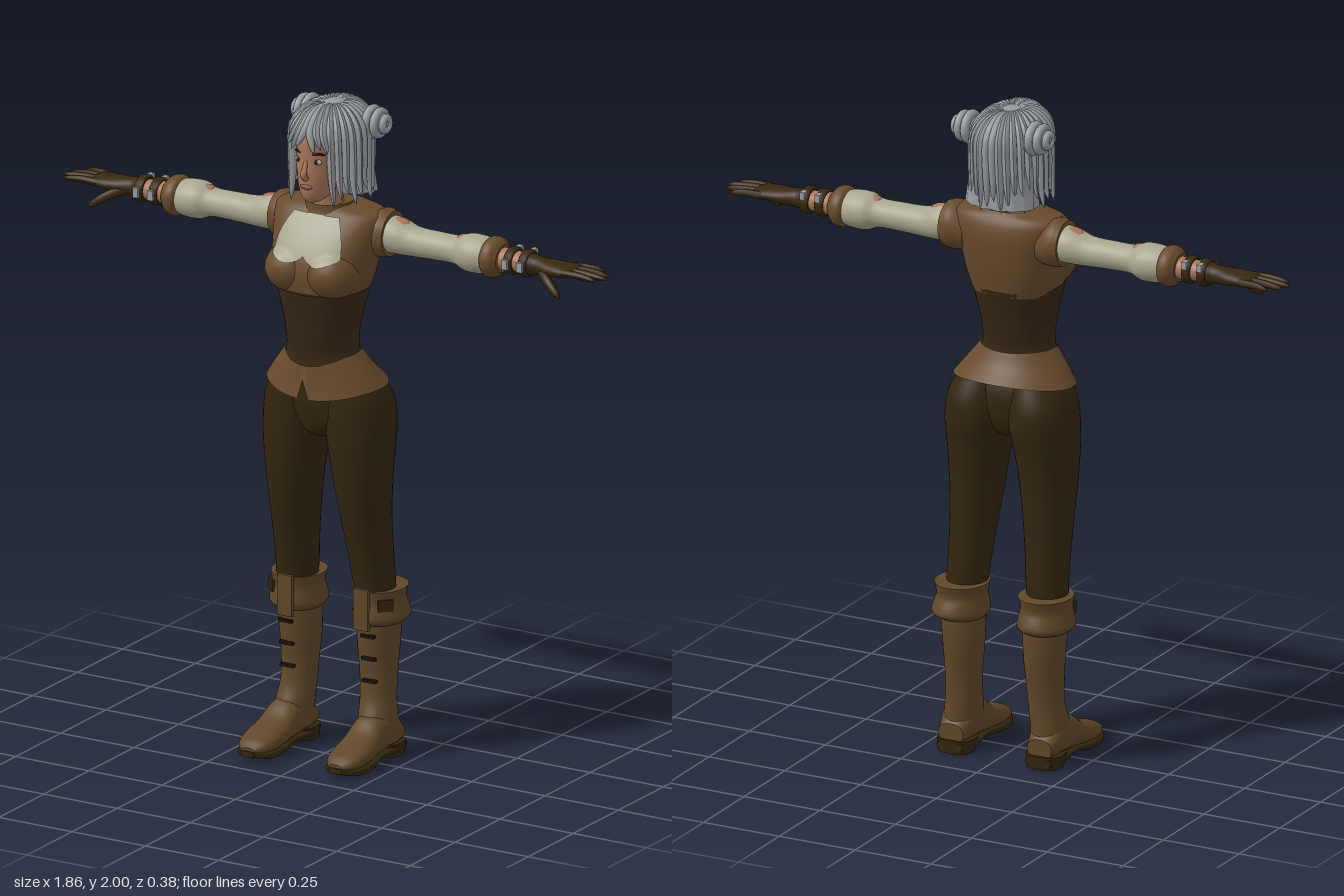
import * as THREE from 'three';

const mat = (name, color, side = THREE.FrontSide) => {
  const m = new THREE.MeshStandardMaterial({ color, side });
  m.name = name;
  return m;
};
const V = (x, y, z) => new THREE.Vector3(x, y, z);

// Smoothly interpolated cross-section row [y, centreX, halfWidth, zFront, zBack]
function rowAt(rows, y) {
  let k = 0;
  while (k < rows.length - 2 && y > rows[k + 1][0]) k++;
  const a = rows[k], b = rows[k + 1], h = b[0] - a[0], t = (y - a[0]) / h;
  const slope = (i, j) => {
    const p = rows[Math.max(i - 1, 0)], q = rows[Math.min(i + 1, rows.length - 1)];
    return (q[j] - p[j]) / (q[0] - p[0]);
  };
  return a.map((v, j) => j === 0 ? y :
    v * (2 * t ** 3 - 3 * t * t + 1) + b[j] * (3 * t * t - 2 * t ** 3) +
    h * (slope(k, j) * (t ** 3 - 2 * t * t + t) + slope(k + 1, j) * (t ** 3 - t * t)));
}

// Skin a stack of rounded cross-sections; p < 1 makes them boxier
function loft(rows, { seg = 32, p = 1, sub = 4, cap = true, warp } = {}) {
  const pos = [], idx = [], ys = [];
  rows.slice(0, -1).forEach((r, k) => {
    for (let s = 0; s < sub; s++) ys.push(r[0] + (rows[k + 1][0] - r[0]) * s / sub);
  });
  ys.push(rows[rows.length - 1][0]);
  const pw = v => Math.sign(v) * Math.abs(v) ** p;
  ys.forEach((y, i) => {
    const [, cx, rx, zf, zb] = rowAt(rows, y);
    for (let j = 0; j < seg; j++) {
      const a = j / seg * Math.PI * 2;
      const v = V(cx + rx * pw(Math.sin(a)), y, (zf + zb) / 2 + (zf - zb) / 2 * pw(Math.cos(a)));
      if (warp) warp(v, a, i / (ys.length - 1));
      pos.push(v.x, v.y, v.z);
    }
  });
  for (let i = 0; i < ys.length - 1; i++) for (let j = 0; j < seg; j++) {
    const a = i * seg + j, b = i * seg + (j + 1) % seg;
    idx.push(a, b, b + seg, a, b + seg, a + seg);
  }
  if (cap) for (const end of [0, ys.length - 1]) {
    const base = pos.length / 3, r = rowAt(rows, ys[end]);
    for (let j = 0; j < seg * 3; j++) pos.push(pos[end * seg * 3 + j]);
    pos.push(r[1], r[0], (r[3] + r[4]) / 2);
    for (let j = 0; j < seg; j++) {
      const a = base + j, b = base + (j + 1) % seg;
      idx.push(base + seg, ...(end ? [a, b] : [b, a]));
    }
  }
  const g = new THREE.BufferGeometry();
  g.setAttribute('position', new THREE.Float32BufferAttribute(pos, 3));
  g.setIndex(idx);
  g.computeVertexNormals();
  return g;
}

// Tube whose radius follows a taper rule
function strand(pts, r, taper = t => 0.05 + 0.95 * Math.sin(Math.PI * t) ** 0.5, n = 16, m = 7) {
  const curve = new THREE.CatmullRomCurve3(pts), g = new THREE.TubeGeometry(curve, n, r, m);
  const P = g.attributes.position, v = V(0, 0, 0);
  for (let i = 0; i < P.count; i++) {
    const t = Math.floor(i / (m + 1)) / n, c = curve.getPointAt(t);
    v.fromBufferAttribute(P, i).sub(c).multiplyScalar(taper(t)).add(c);
    P.setXYZ(i, v.x, v.y, v.z);
  }
  g.computeVertexNormals();
  return g;
}
const ball = (x, y, z, a, b, c) => new THREE.SphereGeometry(1, 20, 14).scale(a, b, c).translate(x, y, z);
const box = (x, y, z, a, b, c, ry = 0) => new THREE.BoxGeometry(a, b, c).rotateY(ry).translate(x, y, z);
const alongArm = g => g.rotateZ(-Math.PI / 2).translate(0, 1.6, -0.06);
const alongFoot = g => g.rotateX(Math.PI / 2);
const round = (x, r, up = 0) => [x, -up, r, r * 1.08, -r * 1.08];

export function createModel() {
  const model = new THREE.Group();
  const D = THREE.DoubleSide;
  const leather = mat('brown leather', 0x684b2c, D), bootMat = mat('boot leather', 0x604728, D);
  const pants = mat('dark trousers', 0x33260f), corsetMat = mat('dark corset', 0x382816);
  const glove = mat('dark glove', 0x38270f), shirt = mat('pale linen', 0xa9a68e, D);
  const skin = mat('skin', 0xa87558), hair = mat('grey hair', 0x989c9f, D);
  const lip = mat('lip', 0x80503f), dark = mat('near black', 0x1c140c);

  const add = (name, geo, m) => {
    const mesh = new THREE.Mesh(geo, m);
    mesh.name = name;
    model.add(mesh);
  };
  const pair = (name, geo, m) => {
    add(name + 'Left', geo, m);
    const g = geo.clone().scale(-1, 1, 1), I = g.index.array;
    for (let i = 0; i < I.length; i += 3) [I[i], I[i + 1]] = [I[i + 1], I[i]];
    add(name + 'Right', g, m);
  };

  // Torso
  const vest = [[1.43, 0, 0.128, 0.128, -0.12], [1.47, 0, 0.143, 0.135, -0.128], [1.51, 0, 0.153, 0.135, -0.136],
    [1.56, 0, 0.162, 0.12, -0.142], [1.61, 0, 0.172, 0.092, -0.145], [1.65, 0, 0.178, 0.062, -0.138],
    [1.675, 0, 0.165, 0.04, -0.125], [1.69, 0, 0.09, 0.025, -0.11]];
  add('vest', loft(vest, { p: 0.85, seg: 48 }), leather);
  const bust = [0.07, 1.502, 0.072, 0.08, 0.074, 0.08];
  pair('bust', ball(...bust), leather);
  add('corset', loft([[1.2, 0, 0.13, 0.106, -0.095], [1.25, 0, 0.107, 0.108, -0.086], [1.3, 0, 0.105, 0.117, -0.092],
    [1.37, 0, 0.117, 0.127, -0.106], [1.445, 0, 0.136, 0.141, -0.125]], { p: 0.9 }), corsetMat);
  // Flared skirt of the vest, with a small notch in front
  add('peplum', loft([[1.15, 0, 0.19, 0.128, -0.155], [1.2, 0, 0.153, 0.12, -0.115], [1.25, 0, 0.113, 0.115, -0.092]], {
    seg: 64, cap: false, warp: (v, a, t) => {
      const c = Math.cos(a);
      v.y += (c > 0 ? -0.03 * c * c : 0.018 * c * c) * (c > 0 ? 1 : 1 - t);
      if (c > 0.999) v.y += 0.06 * (1 - t);
    } }), leather);

  // Linen chest panel laid over the vest
  const frontZ = (x, y) => {
    const [, , rx, zf, zb] = rowAt(vest, y), p = 0.85;
    const z = (zf + zb) / 2 + (zf - zb) / 2 * Math.max(0, 1 - Math.abs(x / rx) ** (2 / p)) ** (p / 2);
    const q = 1 - ((Math.abs(x) - bust[0]) / bust[3]) ** 2 - ((y - bust[1]) / bust[4]) ** 2;
    return Math.max(z, q > 0 ? bust[2] + bust[5] * Math.sqrt(q) : 0);
  };
  const panel = new THREE.PlaneGeometry(2, 1, 28, 20), PP = panel.attributes.position;
  for (let i = 0; i < PP.count; i++) {
    const u = PP.getX(i), t = PP.getY(i) + 0.5;
    const x = u * 0.112 * (1 - 0.32 * t ** 2), low = 1.558 - 0.022 * Math.sin(Math.PI * Math.abs(u) ** 0.8);
    const y = low + (1.668 - low) * t;
    PP.setXYZ(i, x, y, frontZ(x, y) + 0.006);
  }
  panel.computeVertexNormals();
  add('chestPanel', panel, shirt);
  add('collar', loft([[1.655, 0, 0.09, 0.058, -0.12], [1.675, 0, 0.076, 0.05, -0.108], [1.697, 0, 0.07, 0.048, -0.1]],
    { cap: false }), leather);

  // Trousers
  add('hips', loft([[0.985, 0, 0.05, 0.04, -0.07], [1.01, 0, 0.09, 0.07, -0.1], [1.07, 0, 0.15, 0.086, -0.118],
    [1.14, 0, 0.16, 0.09, -0.115], [1.22, 0, 0.115, 0.09, -0.08]]), pants);
  pair('trouserLeg', loft([[0.48, 0.135, 0.06, 0, -0.125], [0.55, 0.13, 0.062, 0.01, -0.125], [0.65, 0.125, 0.066, 0.032, -0.12],
    [0.75, 0.12, 0.073, 0.056, -0.118], [0.85, 0.116, 0.083, 0.075, -0.12], [0.95, 0.111, 0.094, 0.087, -0.132],
    [1.03, 0.105, 0.102, 0.09, -0.147], [1.1, 0.1, 0.097, 0.09, -0.142], [1.18, 0.085, 0.075, 0.085, -0.11]]), pants);

  // Boots
  pair('bootShaft', loft([[0.05, 0.146, 0.055, 0.02, -0.135], [0.12, 0.142, 0.056, 0.005, -0.13], [0.18, 0.136, 0.054, -0.018, -0.129],
    [0.25, 0.134, 0.056, -0.022, -0.136], [0.33, 0.133, 0.061, -0.014, -0.148], [0.43, 0.136, 0.066, -0.005, -0.152]]), bootMat);
  pair('bootCuff', loft([[0.415, 0.139, 0.07, 0, -0.158], [0.43, 0.141, 0.083, 0.013, -0.18], [0.455, 0.14, 0.08, 0.011, -0.176],
    [0.485, 0.139, 0.074, 0.006, -0.164], [0.52, 0.138, 0.08, 0.011, -0.172]]), bootMat);
  pair('cuffFlap', box(0.13, 0.465, 0.011, 0.05, 0.125, 0.012), bootMat);
  pair('cuffPatch', box(0.194, 0.48, -0.018, 0.045, 0.035, 0.009, 0.8), pants);
  for (const y of [0.24, 0.31, 0.38]) pair('lace', box(0.14, y, rowAt([[0.2, -0.02], [0.4, -0.006]], y)[1], 0.045, 0.009, 0.014), dark);
  // Foot sections run along z: [z, x, halfWidth, -bottom, -top]
  pair('bootFoot', alongFoot(loft([[-0.138, 0.146, 0.04, -0.03, -0.09], [-0.08, 0.146, 0.055, -0.025, -0.14], [0, 0.146, 0.054, -0.02, -0.135],
    [0.05, 0.148, 0.058, -0.018, -0.1], [0.11, 0.15, 0.059, -0.015, -0.078], [0.16, 0.15, 0.047, -0.018, -0.06],
    [0.186, 0.149, 0.022, -0.022, -0.042]], { p: 0.85 })), bootMat);
  pair('sole', alongFoot(loft([[-0.146, 0.146, 0.042, -0.01, -0.035], [-0.08, 0.146, 0.057, -0.012, -0.034], [0, 0.147, 0.052, -0.015, -0.034],
    [0.08, 0.15, 0.063, -0.003, -0.03], [0.15, 0.15, 0.056, -0.004, -0.029], [0.192, 0.149, 0.022, -0.016, -0.033]], { p: 0.5 })), pants);
  pair('heel', loft([[0, 0.146, 0.052, -0.055, -0.146], [0.04, 0.146, 0.056, -0.04, -0.148]], { p: 0.7 }), pants);

  // Arms, sections measured outward along x
  pair('shoulderCap', alongArm(loft([[0.12, 0, 0.06, 0.06, -0.06], [0.165, -0.01, 0.074, 0.074, -0.074],
    [0.195, -0.01, 0.068, 0.068, -0.068]])), leather);
  pair('sleeve', alongArm(loft([round(0.15, 0.055, 0.01), round(0.22, 0.054, 0.008), round(0.27, 0.045), round(0.35, 0.042),
    round(0.42, 0.043), round(0.455, 0.056), round(0.5, 0.056), round(0.545, 0.046)])), shirt);
  pair('shoulderSkin', ball(0.215, 1.632, -0.06, 0.045, 0.032, 0.035), skin);
  pair('elbowSkin', ball(0.435, 1.62, -0.06, 0.026, 0.031, 0.03), skin);
  pair('forearm', alongArm(loft([round(0.53, 0.036), round(0.6, 0.032), round(0.67, 0.028)])), skin);
  pair('armCuff', alongArm(loft([round(0.515, 0.046), round(0.53, 0.06), round(0.555, 0.058), round(0.572, 0.042)])), leather);
  for (const x of [0.605, 0.655]) {
    pair('wristStrap', alongArm(loft([round(x - 0.014, 0.034), round(x - 0.009, 0.041), round(x + 0.009, 0.041), round(x + 0.014, 0.034)], { sub: 1 })), glove);
    pair('buckle', box(x, 1.6, -0.013, 0.018, 0.03, 0.01), hair);
    pair('backBuckle', box(x, 1.625, -0.095, 0.016, 0.022, 0.02), hair);
  }
  pair('gloveHand', alongArm(loft([round(0.665, 0.034), round(0.69, 0.028), [0.73, 0, 0.025, 0.04, -0.04], [0.775, -0.002, 0.021, 0.046, -0.046],
    [0.81, -0.003, 0.015, 0.043, -0.05], [0.825, -0.003, 0.008, 0.036, -0.044]])), glove);
  const fingerTaper = t => Math.sqrt(1.003 - t ** 8) * (1 - 0.25 * t);
  [[-0.042, 0.885, -0.056], [-0.015, 0.918, -0.022], [0.01, 0.928, 0.008], [0.034, 0.908, 0.038]].forEach(([z0, x1, z1]) =>
    pair('finger', strand([V(0.79, 1.603, z0 - 0.06), V(0.85, 1.605, (z0 + z1) / 2 - 0.06), V(x1, 1.599, z1 - 0.06)], 0.012, fingerTaper, 12, 10), glove));
  pair('thumb', strand([V(0.71, 1.592, -0.045), V(0.755, 1.572, -0.01), V(0.805, 1.537, 0.008)], 0.016, fingerTaper, 12, 10), glove);

  // Head and face
  add('neck', loft([[1.64, 0, 0.055, 0.04, -0.08], [1.7, 0, 0.044, 0.036, -0.065], [1.77, 0, 0.045, 0.04, -0.065]]), skin);
  add('head', loft([[1.715, 0, 0.022, 0.092, 0.03], [1.73, 0, 0.039, 0.103, 0], [1.76, 0, 0.055, 0.11, -0.05], [1.8, 0, 0.066, 0.112, -0.09],
    [1.85, 0, 0.072, 0.11, -0.12], [1.9, 0, 0.073, 0.11, -0.13], [1.95, 0, 0.06, 0.09, -0.12], [1.982, 0, 0.03, 0.04, -0.07]]), skin);
  add('nose', strand([V(0, 1.853, 0.104), V(0, 1.825, 0.115), V(0, 1.805, 0.121), V(0, 1.795, 0.108)], 0.012, t => 0.4 + 0.6 * t), skin);
  add('mouth', ball(0, 1.767, 0.108, 0.021, 0.008, 0.007), lip);
  pair('ear', ball(0.074, 1.835, -0.02, 0.01, 0.028, 0.018), skin);
  pair('eyeWhite', ball(0.031, 1.845, 0.095, 0.015, 0.008, 0.008), shirt);
  pair('iris', ball(0.031, 1.845, 0.1, 0.006, 0.007, 0.005), dark);
  pair('eyebrow', strand([V(0.014, 1.866, 0.105), V(0.032, 1.871, 0.1), V(0.052, 1.865, 0.082)], 0.004), dark);

  // Hair: scalp, back curtain, locks fanning from the crown, and two coiled buns
  add('scalpHair', ball(0, 1.88, -0.04, 0.097, 0.114, 0.132), hair);
  add('backHair', loft([[1.715, 0, 0.112, -0.025, -0.168], [1.78, 0, 0.106, -0.01, -0.166], [1.86, 0, 0.1, 0, -0.165], [1.93, 0, 0.08, 0, -0.14]], {
    seg: 56, warp: (v, a) => { v.x *= 1 + 0.04 * Math.cos(a * 14); v.z += 0.004 * Math.cos(a * 14); } }), hair);
  const locks = 34;
  for (let k = 0; k < locks; k++) {
    const a = (k + 0.5) / locks * Math.PI * 2, s = Math.sin(a), c = Math.cos(a);
    const fringe = c > 0.8, sway = fringe ? 0.02 * Math.sign(s) : 0;
    const end = fringe ? 1.875 + 0.012 * (k % 2) : 1.705 + 0.018 * (k % 3);
    const z = r => -0.035 + r * c;
    const pts = [V(0.015 * s, 1.987, z(0.015)), V(0.06 * s, 1.98, z(0.085)), V(0.1 * s, 1.935, z(0.135))];
    if (fringe) pts.push(V(0.108 * s + sway, end, z(0.15)));
    else pts.push(V(0.108 * s, 1.85, z(0.138)), V(0.112 * s, 1.77, z(0.135)), V(0.122 * s, end, z(0.132)));
    add('hairLock', strand(pts, 0.0135), hair);
  }
  pair('bunCore', ball(0.118, 1.93, -0.09, 0.04, 0.04, 0.04), hair);
  [[0.105, 0.038, 0.014], [0.13, 0.034, 0.013], [0.15, 0.018, 0.012]].forEach(([x, r, t]) =>
    pair('bunCoil', new THREE.TorusGeometry(r, t, 10, 28).rotateY(Math.PI / 2).translate(x, 1.93, -0.09), hair));
  return model;
}
